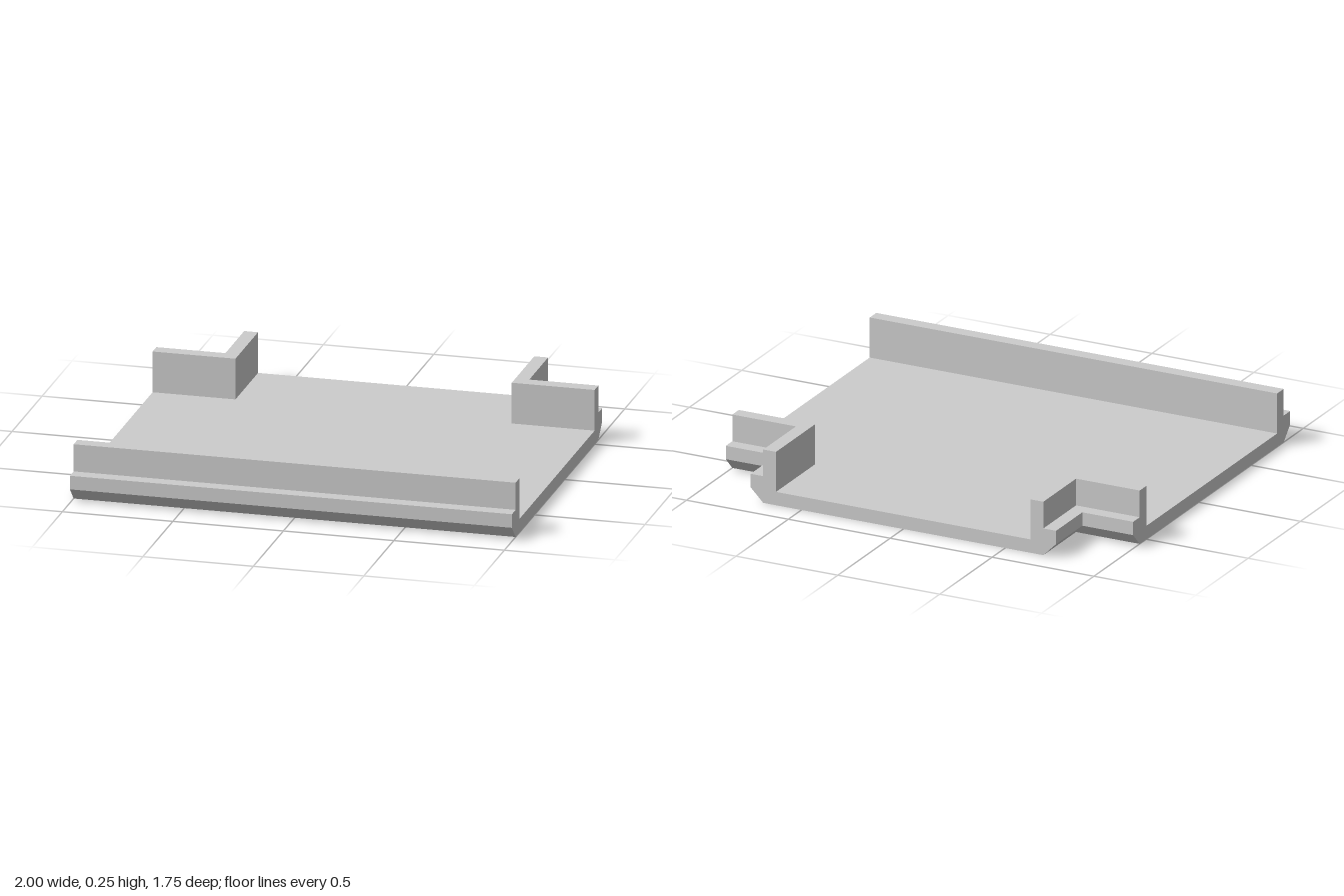
import * as THREE from 'three';

const material = new THREE.MeshStandardMaterial({ color: 0xcccccc, flatShading: true });

// Rim cross-section: [distance outward from the inner wall face, height]
const rimProfile = [
  [0, 0], [0.0625, 0], [0.125, 0.0625], [0.125, 0.125],
  [0.0625, 0.125], [0.0625, 0.25], [0, 0.25],
];

// Sweeps the rim section along a mitred path; each station maps an outward distance to [x, z]
function sweepRim(name, stations) {
  const loops = stations.map((at) => rimProfile.map(([d, y]) => {
    const [x, z] = at(d);
    return [x, y, z];
  }));
  const positions = [];
  const tri = (a, b, c) => positions.push(...a, ...b, ...c);
  const n = rimProfile.length;
  for (let i = 0; i < loops.length - 1; i++) {
    for (let j = 0; j < n; j++) {
      const k = (j + 1) % n;
      tri(loops[i][j], loops[i + 1][j], loops[i + 1][k]);
      tri(loops[i][j], loops[i + 1][k], loops[i][k]);
    }
  }
  // End caps
  const first = loops[0];
  const last = loops[loops.length - 1];
  const contour = rimProfile.map(([d, y]) => new THREE.Vector2(d, y));
  for (const [a, b, c] of THREE.ShapeUtils.triangulateShape(contour, [])) {
    tri(first[a], first[b], first[c]);
    tri(last[a], last[c], last[b]);
  }
  const geometry = new THREE.BufferGeometry();
  geometry.setAttribute('position', new THREE.Float32BufferAttribute(positions, 3));
  geometry.computeVertexNormals();
  const mesh = new THREE.Mesh(geometry, material);
  mesh.name = name;
  return mesh;
}

export function createModel() {
  const model = new THREE.Group();
  model.name = 'tray';

  // Floor plate with notched back corners
  const outline = [
    [-1, 0.75], [1, 0.75], [1, -0.5], [0.625, -0.5],
    [0.625, -0.875], [-0.625, -0.875], [-0.625, -0.5], [-1, -0.5],
  ];
  const shape = new THREE.Shape(outline.map(([x, z]) => new THREE.Vector2(x, -z)));
  const floorGeometry = new THREE.ExtrudeGeometry(shape, { depth: 0.0625, bevelEnabled: false });
  floorGeometry.rotateX(-Math.PI / 2);
  const floor = new THREE.Mesh(floorGeometry, material);
  floor.name = 'floorPlate';
  model.add(floor);

  // Straight front rim
  model.add(sweepRim('frontRim', [(d) => [-1, 0.75 + d], (d) => [1, 0.75 + d]]));

  // L-shaped rims around the two back notches
  for (const side of [1, -1]) {
    const stations = [
      (d) => [side, -0.5 - d],
      (d) => [side * (0.625 + d), -0.5 - d],
      (d) => [side * (0.625 + d), -0.875],
    ];
    if (side < 0) stations.reverse();
    model.add(sweepRim(side > 0 ? 'leftCornerRim' : 'rightCornerRim', stations));
  }

  return model;
}
